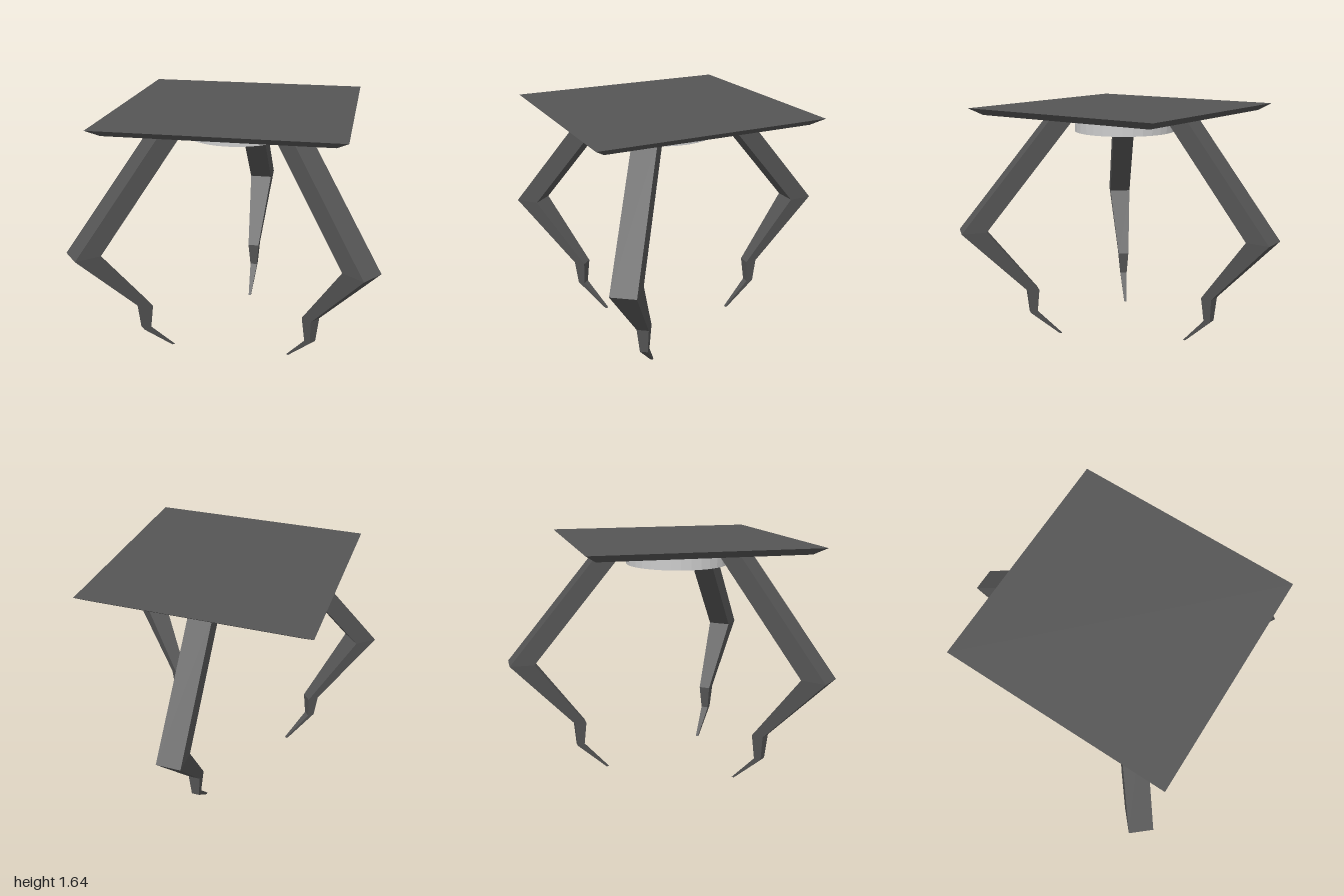
import * as THREE from 'three';

const dark = new THREE.MeshStandardMaterial({ color: 0x555555, flatShading: true });
const grey = new THREE.MeshStandardMaterial({ color: 0xcccccc, flatShading: true });

// Closed loft through level rectangles, listed bottom to top: [y, zOuter, zInner, halfWidth]
function loft(sections) {
  const pos = [];
  const index = [];
  for (const [y, zo, zi, w] of sections) {
    pos.push(w, y, zo, w, y, zi, -w, y, zi, -w, y, zo);
  }
  const last = (sections.length - 1) * 4;
  for (let s = 0; s < last; s += 4) {
    for (let i = 0; i < 4; i++) {
      const a = s + i, b = s + (i + 1) % 4;
      index.push(a, b, b + 4, a, b + 4, a + 4);
    }
  }
  index.push(0, 2, 1, 0, 3, 2, last, last + 1, last + 2, last, last + 2, last + 3);
  const geo = new THREE.BufferGeometry();
  geo.setAttribute('position', new THREE.Float32BufferAttribute(pos, 3));
  geo.setIndex(index);
  const flat = geo.toNonIndexed();
  flat.computeVertexNormals();
  return flat;
}

export function createModel() {
  const model = new THREE.Group();
  model.name = 'table';

  const add = (name, geometry, material, x, y, z) => {
    const mesh = new THREE.Mesh(geometry, material);
    mesh.name = name;
    mesh.position.set(x, y, z);
    model.add(mesh);
    return mesh;
  };

  // Square top with bevelled underside
  add('tableTop', loft([
    [1.59, 0.688, -0.688, 0.688],
    [1.637, 0.758, -0.758, 0.758],
  ]), dark, -0.01, 0, 0.18);

  // Round hub beneath the top
  add('hub', new THREE.CylinderGeometry(0.352, 0.352, 0.125, 32), grey, -0.01, 1.5275, 0.18);

  // Clawed leg, local z = 0 at the outer edge of the knee, +z outward
  const legGeometry = loft([
    [0, -0.66, -0.677, 0.009],
    [0.19, -0.45, -0.5, 0.026],
    [0.36, -0.435, -0.515, 0.04],
    [0.82, 0, -0.165, 0.081],
    [1.59, -0.64, -0.805, 0.079],
  ]);
  // Knee position and outward direction of each leg
  const legs = [
    ['backLeg', -0.018, -1, 0, -1],
    ['frontRightLeg', -0.923, 0.93, -0.755, 0.656],
    ['frontLeftLeg', 0.923, 0.884, 0.797, 0.604],
  ];
  for (const [name, x, z, dx, dz] of legs) {
    add(name, legGeometry, dark, x, 0, z).rotation.y = Math.atan2(dx, dz);
  }

  return model;
}
